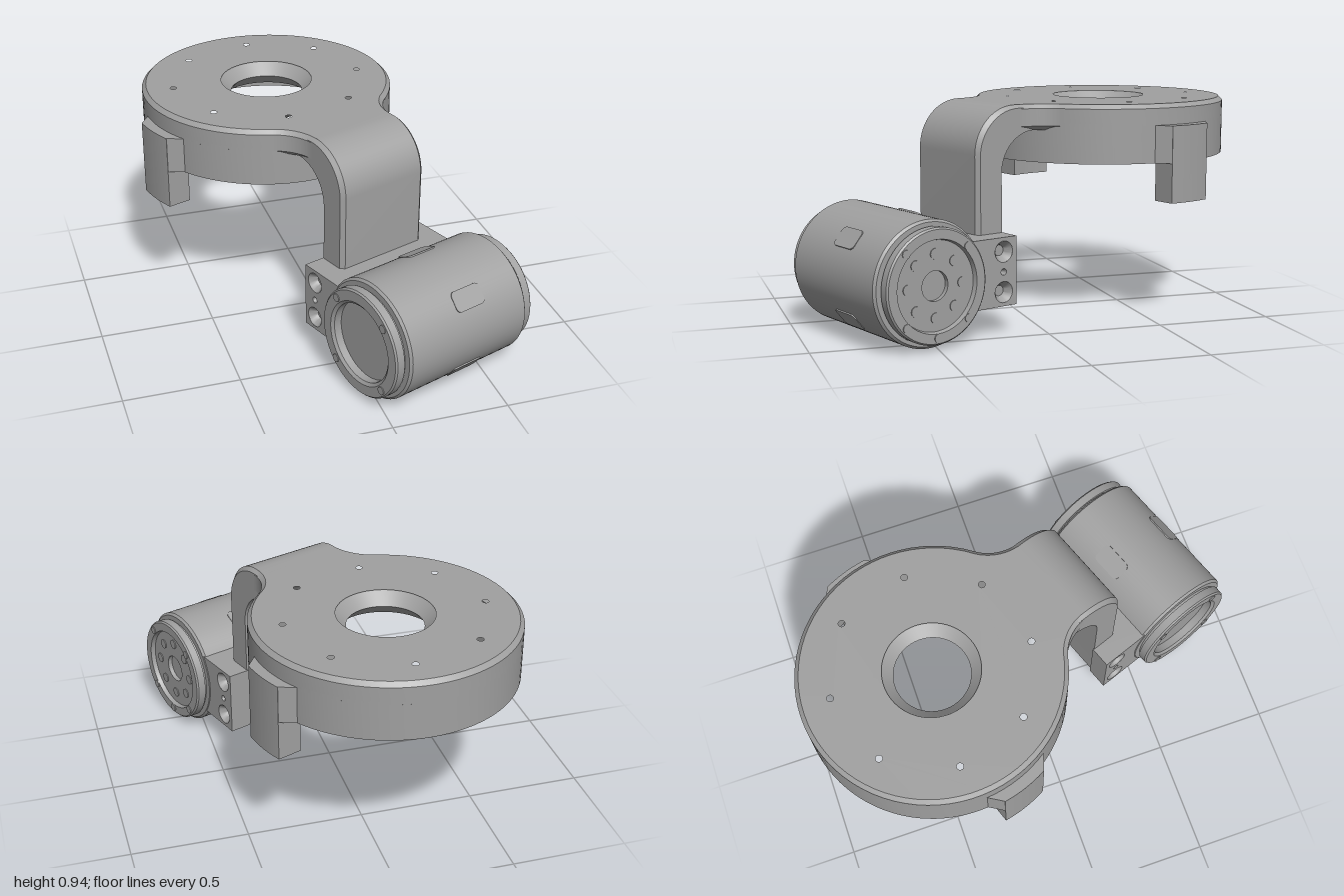
import * as THREE from 'three';
import { toCreasedNormals } from 'three/addons/utils/BufferGeometryUtils.js';

const metal = new THREE.MeshStandardMaterial({ color: 0xa0a0a0 });
metal.name = 'grey metal';

function add(parent, name, geometry, x = 0, y = 0, z = 0) {
  const mesh = new THREE.Mesh(toCreasedNormals(geometry, 0.5), metal);
  mesh.name = name;
  mesh.position.set(x, y, z);
  parent.add(mesh);
  return mesh;
}

const lathe = (points, segments = 72) =>
  new THREE.LatheGeometry(points.map(([r, y]) => new THREE.Vector2(r, y)), segments);

// Plan shape (x, z) raised from y0 to y1, with an optional chamfer
function slab(shape, y0, y1, chamfer = 0) {
  const geometry = new THREE.ExtrudeGeometry(shape, {
    depth: y1 - y0 - 2 * chamfer, curveSegments: 32, bevelEnabled: chamfer > 0,
    bevelThickness: chamfer, bevelSize: chamfer, bevelOffset: -chamfer, bevelSegments: 1,
  });
  return geometry.rotateX(Math.PI / 2).translate(0, y1 - chamfer, 0);
}

function circle(x, y, r) {
  const path = new THREE.Path();
  path.absarc(x, y, r, 0, Math.PI * 2, true);
  return path;
}

function roundedRect(w, h, r) {
  const s = new THREE.Shape();
  s.absarc(w / 2 - r, h / 2 - r, r, 0, Math.PI / 2);
  s.absarc(r - w / 2, h / 2 - r, r, Math.PI / 2, Math.PI);
  s.absarc(r - w / 2, r - h / 2, r, Math.PI, Math.PI * 1.5);
  s.absarc(w / 2 - r, r - h / 2, r, Math.PI * 1.5, Math.PI * 2);
  return s;
}

// Bent arm: a chamfered section carried along the outer and inner curves
function bentArm(halfWidth, chamfer) {
  const stations = [[0.45, 0.94, 0.45, 0.83]];
  for (let i = 0; i <= 16; i++) {
    const t = (i / 16) * Math.PI / 2, s = Math.sin(t), c = Math.cos(t);
    stations.push([0.64 + 0.2 * s, 0.74 + 0.2 * c, 0.545 + 0.17 * s, 0.66 + 0.17 * c]);
  }
  stations.push([0.84, 0.14, 0.715, 0.14]);
  const rings = stations.map(([oz, oy, iz, iy]) => {
    const len = Math.hypot(oz - iz, oy - iy);
    const cz = oz - (oz - iz) / len * chamfer, cy = oy - (oy - iy) / len * chamfer;
    const h = halfWidth, n = halfWidth - chamfer;
    return [[-h, iy, iz], [h, iy, iz], [h, cy, cz], [n, oy, oz], [-n, oy, oz], [-h, cy, cz]];
  });
  const pos = [];
  for (let k = 0; k + 1 < rings.length; k++) {
    for (let i = 0; i < 6; i++) {
      const j = (i + 1) % 6, p = rings[k], q = rings[k + 1];
      pos.push(...p[i], ...p[j], ...q[j], ...p[i], ...q[j], ...q[i]);
    }
  }
  const end = rings[rings.length - 1];
  for (let i = 1; i < 5; i++) pos.push(...end[0], ...end[i], ...end[i + 1]);
  const geometry = new THREE.BufferGeometry();
  geometry.setAttribute('position', new THREE.Float32BufferAttribute(pos, 3));
  geometry.computeVertexNormals();
  return geometry;
}

function buildMount(parent) {
  // Round plate flowing into the neck, with bolt holes and a central opening
  const a = Math.atan2(0.633, 0.42);
  const plate = new THREE.Shape();
  plate.moveTo(0.22, 0.66);
  plate.absarc(0.42, 0.633, 0.2, Math.PI, Math.PI + a, false);
  plate.absarc(0, 0, 0.56, a, Math.PI - a, true);
  plate.absarc(-0.42, 0.633, 0.2, -a, 0, false);
  plate.lineTo(-0.22, 0.66);
  plate.holes.push(circle(0, 0, 0.222));
  for (let i = 0; i < 8; i++) {
    const t = (i + 0.5) * Math.PI / 4;
    plate.holes.push(circle(0.425 * Math.cos(t), 0.425 * Math.sin(t), 0.032));
  }
  add(parent, 'mountPlate', slab(plate, 0.83, 0.94, 0.018));
  add(parent, 'centreOpening', lathe([[0.24, 0.83], [0.215, 0.83], [0.16, 0.885], [0.22, 0.94], [0.24, 0.94]].reverse()));
  add(parent, 'rimWall', lathe([[0.5, 0.84], [0.5, 0.69], [0.56, 0.69], [0.56, 0.86]], 96));

  // Two opposite locating tabs with flared shoulders
  for (const turn of [0, Math.PI]) {
    const tab = new THREE.Shape();
    tab.absarc(0, 0, 0.607, -0.167, 0.167, false);
    tab.absarc(0, 0, 0.505, 0.2, -0.2, true);
    const shoulder = new THREE.Shape();
    shoulder.absarc(0, 0, 0.606, -0.167, 0.167, false);
    shoulder.absarc(0, 0, 0.55, 0.29, -0.29, true);
    add(parent, 'locatingTab', slab(tab, 0.52, 0.85)).rotation.y = turn;
    add(parent, 'tabShoulder', slab(shoulder, 0.69, 0.85)).rotation.y = turn;
  }
  add(parent, 'bentArm', bentArm(0.22, 0.018));
}

function buildBracket(parent) {
  add(parent, 'bracketCore', new THREE.BoxGeometry(0.46, 0.29, 0.27), 0, 0.265, 0.865);
  for (const side of [1, -1]) {
    // Ear drawn in (z, y), then turned so its depth runs along x
    const ear = new THREE.Shape([[0.71, 0.12], [1, 0.12], [1, 0.41], [0.71, 0.41]]
      .map(([z, y]) => new THREE.Vector2(-z, y)));
    const holes = [[0.18, 0.045], [0.35, 0.045], [0.265, 0.014]];
    holes.forEach(([y, r]) => ear.holes.push(circle(-0.775, y, r)));
    const geometry = new THREE.ExtrudeGeometry(ear, { depth: 0.097, bevelEnabled: false, curveSegments: 16 });
    geometry.rotateY(Math.PI / 2);
    add(parent, 'bracketEar', geometry, side > 0 ? 0.216 : -0.313);
    for (const [y, r] of holes) {
      const cup = lathe([[0, -0.035], [r * 0.5, -0.035], [r * 0.65, -0.02], [r, 0]], 24);
      // Profile runs outward so the cup is seen from its open side
      cup.scale(1, -1, 1).rotateX(Math.PI).rotateZ(-side * Math.PI / 2);
      const flipped = lathe([[r, 0], [r * 0.65, -0.02], [r * 0.5, -0.035], [0, -0.035]], 24);
      flipped.rotateZ(-side * Math.PI / 2);
      add(parent, 'countersink', flipped, side * 0.313, y, 0.775);
    }
  }
}

function buildMotor(parent) {
  const motor = new THREE.Group();
  motor.name = 'motor';
  motor.position.set(0, 0.262, 1.143);
  parent.add(motor);

  const body = lathe([[0, -0.316], [0.252, -0.316], [0.262, -0.306], [0.262, 0.306], [0.252, 0.316], [0, 0.316]], 96);
  add(motor, 'motorBody', body.rotateZ(-Math.PI / 2));

  // Rounded flats on the casing
  for (const degrees of [40, -40, 117, -117]) {
    const flat = new THREE.ExtrudeGeometry(roundedRect(0.15, 0.09, 0.022), { depth: 0.007, bevelEnabled: false });
    flat.translate(0.03, 0, 0.257).rotateX(-degrees * Math.PI / 180);
    add(motor, 'casingFlat', flat);
  }

  // End flanges: a drive face on the left, a deeper open ring on the right
  for (const side of [1, -1]) {
    const end = new THREE.Group();
    end.name = side > 0 ? 'driveEnd' : 'openEnd';
    end.rotation.z = -side * Math.PI / 2;
    motor.add(end);
    const rim = [[0.225, 0.31], [0.225, 0.328], [0.237, 0.328], [0.237, 0.363], [0.23, 0.37]];
    const face = side > 0
      ? [[0.19, 0.37], [0.185, 0.35], [0.062, 0.35], [0.062, 0.33], [0, 0.33]]
      : [[0.185, 0.37], [0.172, 0.36], [0.172, 0.325], [0, 0.325]];
    add(end, 'flange', lathe([...rim, ...face], 96));
    const screw = (r, angle, size, y) => add(end, 'screw',
      new THREE.CylinderGeometry(size, size, 0.008, 20), r * Math.cos(angle), y, r * Math.sin(angle));
    for (let i = 0; i < 4; i++) screw(0.208, (i + 0.5) * Math.PI / 2, 0.018, 0.37);
    if (side > 0) {
      for (let i = 0; i < 8; i++) screw(0.13, i * Math.PI / 4, 0.022, 0.35);
      screw(0.208, 0, 0.018, 0.37);
    }
  }
}

export function createModel() {
  const model = new THREE.Group();
  model.name = 'motorArm';
  const assembly = new THREE.Group();
  assembly.name = 'assembly';
  assembly.position.set(-0.11, 0, -0.44);
  assembly.rotation.y = Math.PI / 9;
  model.add(assembly);
  buildMount(assembly);
  buildBracket(assembly);
  buildMotor(assembly);
  return model;
}
